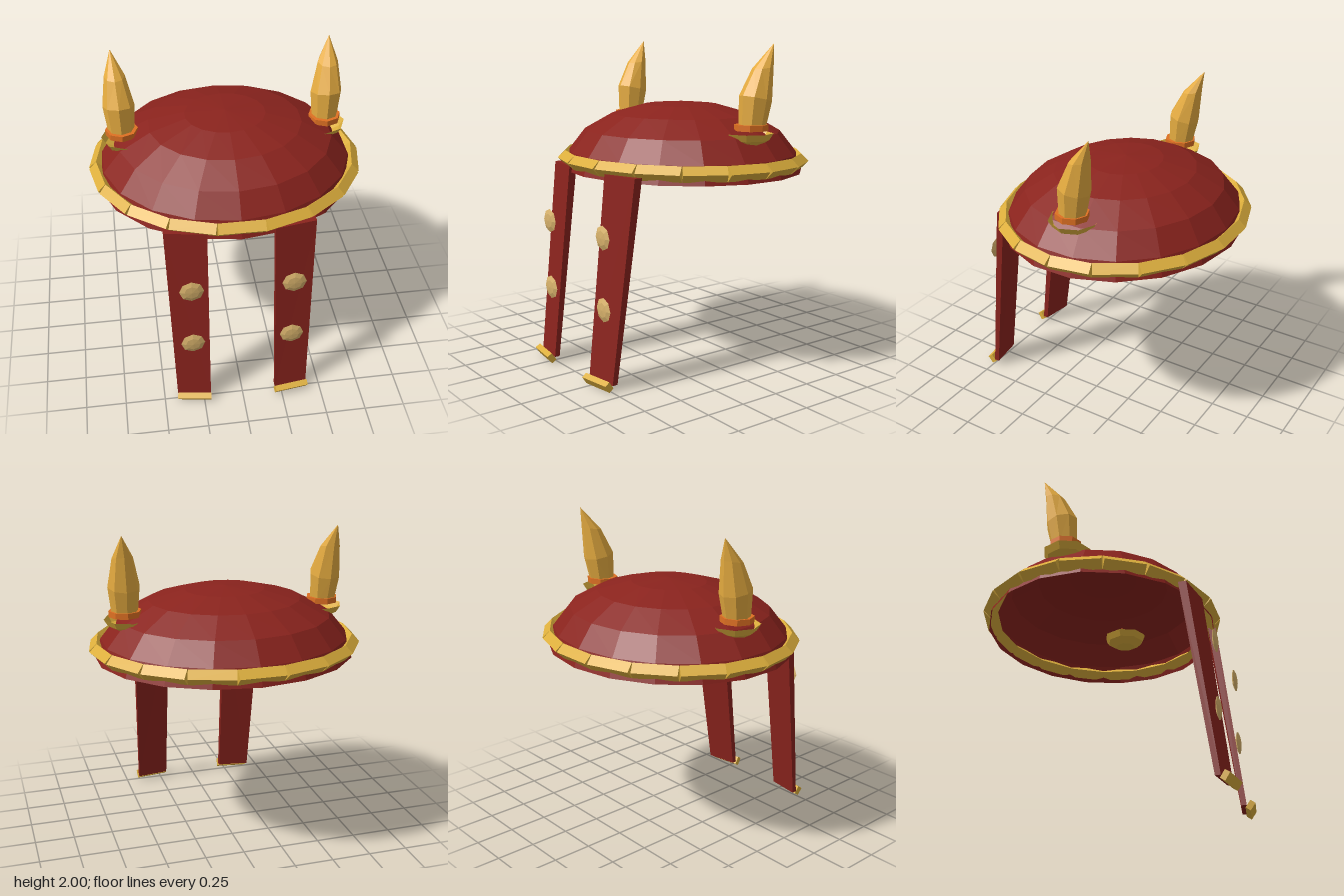
import * as THREE from 'three';

const mat = (color, side = THREE.FrontSide) =>
  new THREE.MeshStandardMaterial({ color, side, flatShading: true });

const RED = mat(0x8a231d);
const RED_OPEN = mat(0x8a231d, THREE.DoubleSide);
const GOLD = mat(0xdcae3c);
const GOLD_OPEN = mat(0xdcae3c, THREE.DoubleSide);
const HORN = mat(0xe6ac40);
const ORANGE = mat(0xde7022);
const STUD = mat(0xd9b36c);

const CENTRE_Z = -0.07;

function add(parent, name, geometry, material, x = 0, y = 0, z = 0) {
  const mesh = new THREE.Mesh(geometry, material);
  mesh.name = name;
  mesh.position.set(x, y, z);
  parent.add(mesh);
  return mesh;
}

const lathe = (points, sides) =>
  new THREE.LatheGeometry(points.map(([r, y]) => new THREE.Vector2(r, y)), sides);

// Curved horn: each ring is [height, centre x, centre z, radius, tilt in z]
function hornGeometry() {
  const rings = [
    [1.51, 0.635, -0.11, 0.08, 0],
    [1.68, 0.64, -0.128, 0.097, 0.22],
    [1.86, 0.65, -0.173, 0.063, -0.15],
    [2.0, 0.665, -0.245, 0, 0],
  ];
  const geo = lathe(rings.map((r) => [r[3], r[0]]), 8);
  const p = geo.attributes.position;
  for (let i = 0; i < p.count; i++) {
    const [y, cx, cz, , tilt] = rings[i % rings.length];
    const z = p.getZ(i);
    p.setXYZ(i, p.getX(i) + cx, y + z * tilt, z + cz);
  }
  geo.computeVertexNormals();
  return geo;
}

// Tapered, leaning and slightly turned strap made by moving the corners of a box
function strapGeometry() {
  const geo = new THREE.BoxGeometry(1, 1, 1);
  const p = geo.attributes.position;
  for (let i = 0; i < p.count; i++) {
    const top = p.getY(i) > 0;
    const outer = p.getX(i) > 0;
    const back = p.getZ(i) < 0;
    const x = outer ? (top ? 0.45 : 0.415) : (top ? 0.2 : 0.207);
    const front = top ? (outer ? 0.6 : 0.643) : (outer ? 0.742 : 0.772);
    p.setXYZ(i, x, top ? 1.25 : 0.04, front - (back ? (top ? 0.05 : 0.033) : 0));
  }
  geo.computeVertexNormals();
  return geo;
}

// Everything on the model's left side; the right side is its mirror image
function createSide(name) {
  const side = new THREE.Group();
  side.name = name;

  // Horn with its collar and open cup
  add(side, 'horn', hornGeometry(), HORN);
  add(side, 'hornCollar', new THREE.CylinderGeometry(0.1, 0.1, 0.036, 8), ORANGE, 0.633, 1.512, -0.105);
  const cup = lathe([[0, 1.4], [0.065, 1.405], [0.125, 1.437], [0.15, 1.478]], 8);
  add(side, 'hornCup', cup, GOLD_OPEN, 0.612, 0, -0.1);

  // Hanging strap with end bar and studs
  add(side, 'strap', strapGeometry(), RED);
  const bar = add(side, 'strapEndBar', new THREE.BoxGeometry(0.212, 0.055, 0.036), GOLD, 0.311, 0.037, 0.78);
  bar.rotation.set(0.6, 0.14, 0, 'YXZ');
  const stud = lathe([[0, -0.015], [0.045, -0.011], [0.074, 0], [0.045, 0.011], [0, 0.015]], 8);
  stud.rotateX(Math.PI / 2);
  for (const y of [0.47, 0.9]) add(side, 'stud', stud, STUD, 0.307, y, 0.73);
  return side;
}

export function createModel() {
  const model = new THREE.Group();
  model.name = 'hornedCap';

  // Open shallow dome, narrower front to back
  const profile = [[0.815, 1.21], [0.775, 1.32], [0.665, 1.452], [0.475, 1.553], [0.25, 1.612], [0, 1.632]];
  const dome = add(model, 'dome', lathe(profile, 18), RED_OPEN, 0, 0, CENTRE_Z);
  dome.scale.z = 0.9;

  // Rim of square bars set on edge
  const rim = new THREE.Group();
  rim.name = 'rim';
  model.add(rim);
  const count = 18;
  const a = 0.795, b = 0.71;
  for (let i = 0; i < count; i++) {
    const t = (i / count) * Math.PI * 2;
    const tangent = new THREE.Vector2(a * Math.cos(t), -b * Math.sin(t));
    const length = tangent.length() * (Math.PI * 2 / count);
    const bar = add(rim, 'rimBar', new THREE.BoxGeometry(length, 0.066, 0.066), GOLD,
      a * Math.sin(t), 1.276, CENTRE_Z + b * Math.cos(t));
    bar.rotation.set(Math.PI / 4, Math.atan2(-tangent.y, tangent.x), 0, 'YXZ');
  }

  // Two mirrored sides
  model.add(createSide('leftSide'));
  const right = createSide('rightSide');
  right.scale.x = -1;
  model.add(right);
  return model;
}
